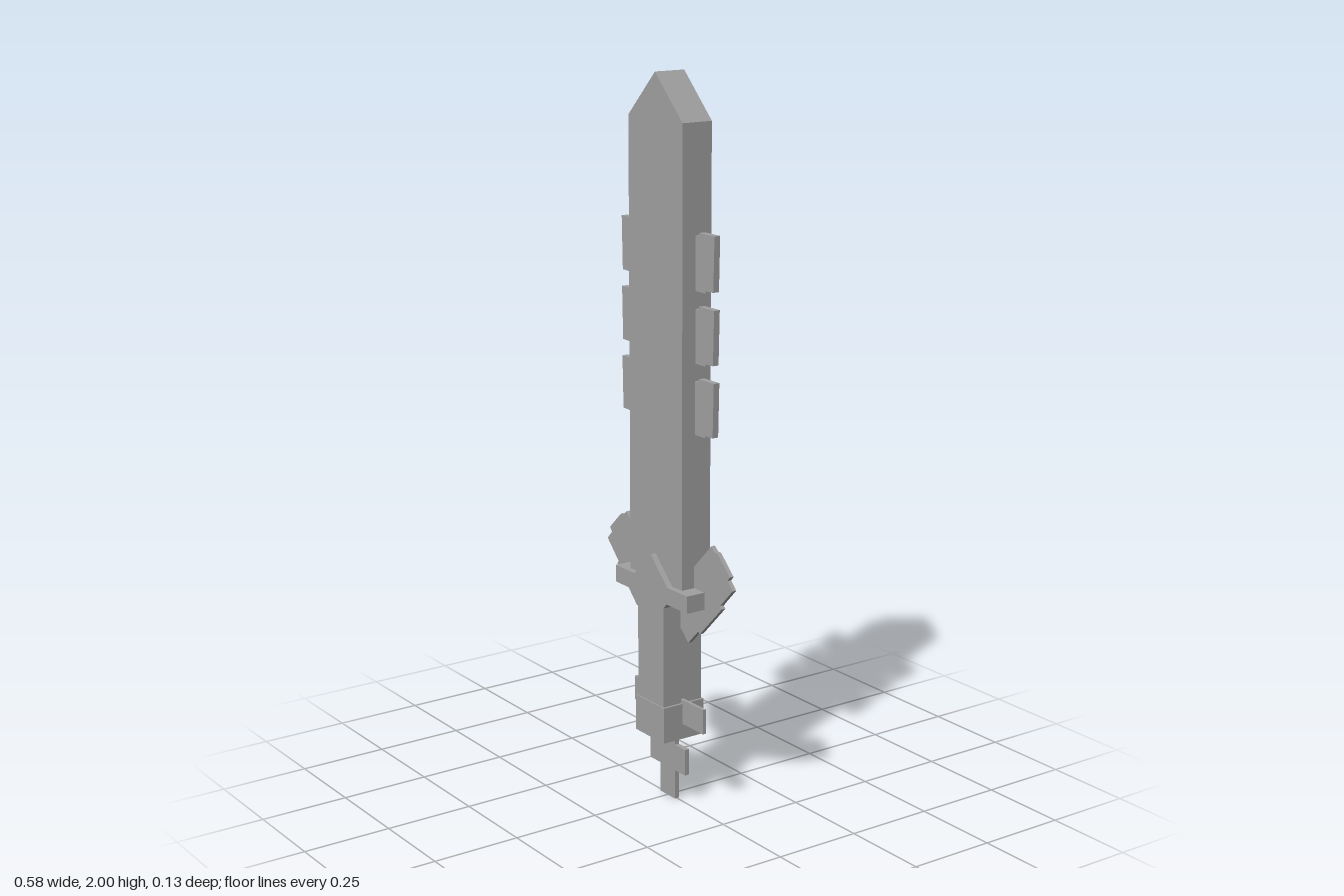
import * as THREE from 'three';

const steel = new THREE.MeshStandardMaterial({ color: 0xa0a0a0 });
steel.name = 'grey';

// Flat outline extruded evenly about z = 0
function slab(name, points, halfDepth) {
  const shape = new THREE.Shape(points.map(([x, y]) => new THREE.Vector2(x, y)));
  const geometry = new THREE.ExtrudeGeometry(shape, { depth: halfDepth * 2, bevelEnabled: false });
  geometry.translate(0, 0, -halfDepth);
  const mesh = new THREE.Mesh(geometry, steel);
  mesh.name = name;
  return mesh;
}

const rect = (x0, x1, y0, y1) => [[x0, y0], [x1, y0], [x1, y1], [x0, y1]];

// Right half of an outline, closed by its mirror image
const mirrored = (half) => [...half, ...half.slice().reverse().filter(([x]) => x > 0).map(([x, y]) => [-x, y])];

export function createModel() {
  const model = new THREE.Group();
  model.name = 'sword';

  // Blade with a pointed tip
  model.add(slab('blade', mirrored([[0.121, 0.6], [0.121, 1.88], [0, 2]]), 0.046));

  // Guard with a raised chevron, and the grip under it
  model.add(slab('guard', mirrored([
    [0.06, 0.575], [0.075, 0.59], [0.168, 0.59], [0.168, 0.638], [0.077, 0.638], [0, 0.712],
  ]), 0.063));
  model.add(slab('grip', rect(-0.06, 0.06, 0.25, 0.58), 0.063));
  model.add(slab('gripCollar', rect(-0.067, 0.067, 0.188, 0.29), 0.067));

  // Thin crosspiece and stepped pommel
  model.add(slab('crosspiece', rect(-0.162, 0.162, 0.232, 0.302), 0.005));
  model.add(slab('pommel', mirrored([
    [0.035, 0], [0.035, 0.085], [0.082, 0.085], [0.082, 0.16], [0.035, 0.16], [0.035, 0.19],
  ]), 0.007));

  for (const side of [-1, 1]) {
    const flip = (points) => points.map(([x, y]) => [x * side, y]);

    // Stepped diagonal wing behind the guard
    model.add(slab('wing', flip([
      [0.05, 0.51], [0.065, 0.505], [0.095, 0.475], [0.14, 0.52], [0.148, 0.515],
      [0.245, 0.612], [0.238, 0.62], [0.292, 0.675], [0.27, 0.698], [0.28, 0.71],
      [0.225, 0.762], [0.212, 0.762], [0.198, 0.775], [0.1, 0.677], [0.05, 0.627],
    ]), 0.006));

    // Teeth: an outer plate on a thinner root
    for (const y of [1.6, 1.408, 1.216]) {
      model.add(slab('toothPlate', flip([
        [0.145, y - 0.148], [0.205, y - 0.146], [0.209, y], [0.143, y],
      ]), 0.009));
      model.add(slab('toothRoot', flip(rect(0.11, 0.165, y - 0.155, y - 0.01)), 0.004));
    }
  }
  return model;
}
